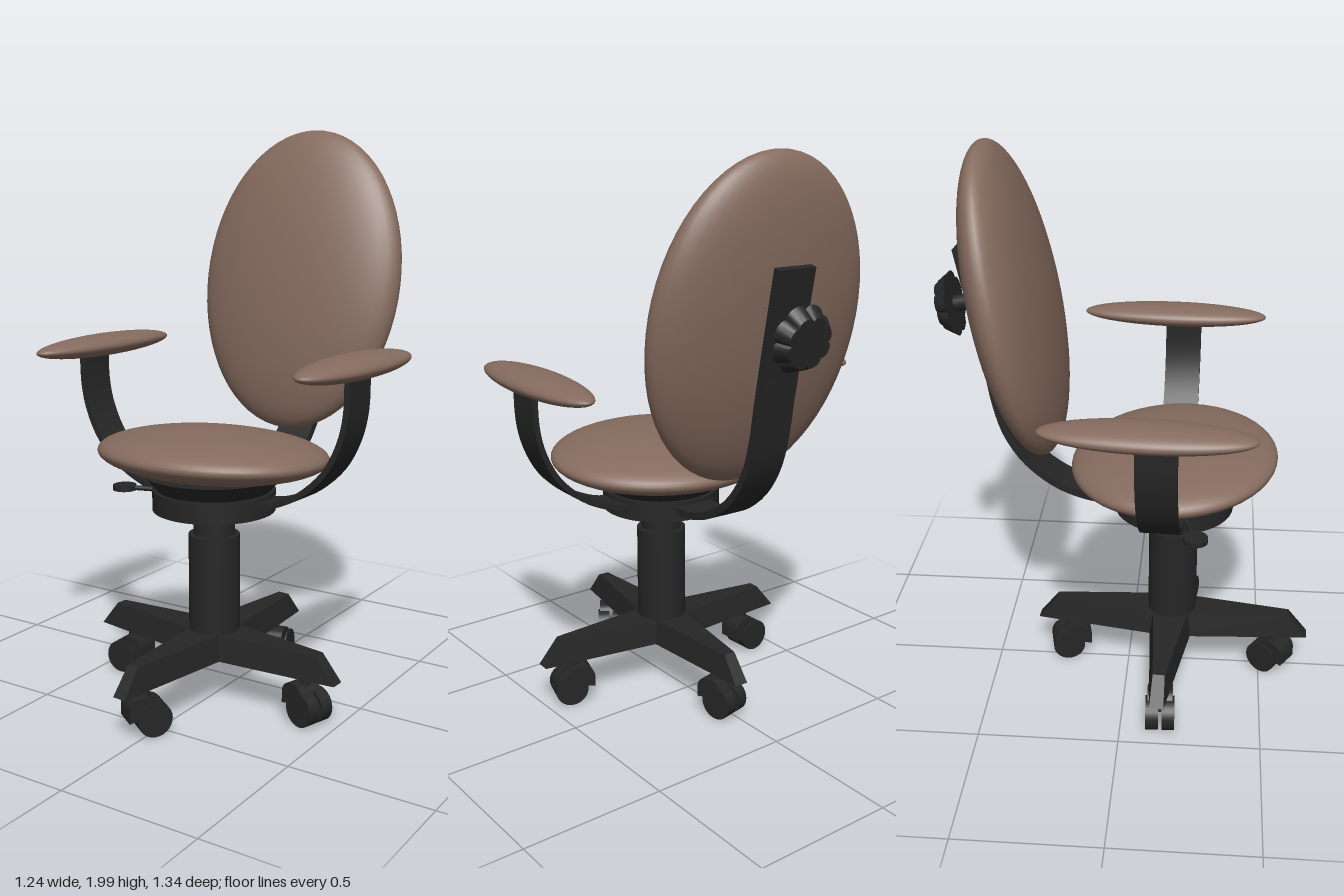
import * as THREE from 'three';
import { toCreasedNormals } from 'three/addons/utils/BufferGeometryUtils.js';

const black = new THREE.MeshStandardMaterial({ color: 0x262626 });
const brown = new THREE.MeshStandardMaterial({ color: 0x856b5e });

function add(parent, name, geometry, material, x = 0, y = 0, z = 0) {
  const mesh = new THREE.Mesh(geometry, material);
  mesh.name = name;
  mesh.position.set(x, y, z);
  parent.add(mesh);
  return mesh;
}

// Upholstered cushion: a flattened sphere
function cushion(parent, name, rx, ry, rz, x, y, z) {
  const geometry = new THREE.SphereGeometry(1, 48, 32).scale(rx, ry, rz);
  return add(parent, name, geometry, brown, x, y, z);
}

// Flat bar of given thickness bent along a planar path, extruded to its width
function bentBar(points, thickness, width) {
  const curve = new THREE.SplineCurve(points.map(p => new THREE.Vector2(...p)));
  const outer = [], inner = [];
  for (let i = 0; i <= 28; i++) {
    const p = curve.getPoint(i / 28), t = curve.getTangent(i / 28);
    const n = new THREE.Vector2(-t.y, t.x).multiplyScalar(thickness / 2);
    outer.push(p.clone().add(n));
    inner.unshift(p.clone().sub(n));
  }
  const geometry = new THREE.ExtrudeGeometry(new THREE.Shape([...outer, ...inner]),
    { depth: width, bevelEnabled: false });
  return toCreasedNormals(geometry.translate(0, 0, -width / 2), 0.5);
}

// Star-base leg along +x: tapered, with a sloping tip
function legGeometry() {
  const geometry = new THREE.BoxGeometry(1, 1, 1);
  const p = geometry.attributes.position;
  for (let i = 0; i < p.count; i++) {
    const tip = p.getX(i) > 0, top = p.getY(i) > 0;
    const half = (tip ? 0.025 : 0.085) * (top ? 0.85 : 1);
    p.setXYZ(i, tip ? (top ? 0.44 : 0.512) : 0, top ? 0.255 : 0.165, Math.sign(p.getZ(i)) * half);
  }
  geometry.computeVertexNormals();
  return geometry;
}

// Twin-wheel caster, its hood facing +x
function makeCaster() {
  const caster = new THREE.Group();
  caster.name = 'caster';
  add(caster, 'casterStem', new THREE.CylinderGeometry(0.016, 0.016, 0.07, 16), black, 0, 0.15, 0);
  const hood = new THREE.Shape();
  hood.moveTo(-0.045, 0.085);
  hood.lineTo(0.068, 0.06);
  hood.lineTo(0.068, 0.105);
  hood.quadraticCurveTo(0.06, 0.142, 0.02, 0.142);
  hood.quadraticCurveTo(-0.03, 0.145, -0.045, 0.085);
  const hoodGeometry = new THREE.ExtrudeGeometry(hood, { depth: 0.09, bevelEnabled: false, curveSegments: 10 });
  add(caster, 'casterHood', toCreasedNormals(hoodGeometry, 0.6), black, 0, 0, -0.045);
  for (const side of [-1, 1]) {
    const wheel = new THREE.CylinderGeometry(0.06, 0.06, 0.045, 28).rotateX(Math.PI / 2);
    add(caster, 'casterWheel', wheel, black, -0.02, 0.062, side * 0.029);
  }
  return caster;
}

// Scalloped grip knob, axis along y, narrowing away from the bar
function knobGeometry() {
  const geometry = new THREE.CylinderGeometry(0.085, 0.113, 0.045, 64);
  const p = geometry.attributes.position;
  for (let i = 0; i < p.count; i++) {
    const a = Math.atan2(p.getZ(i), p.getX(i));
    const k = 0.86 + 0.14 * Math.sqrt(Math.abs(Math.sin(4 * a)));
    p.setX(i, p.getX(i) * k);
    p.setZ(i, p.getZ(i) * k);
  }
  return toCreasedNormals(geometry, 0.6);
}

export function createModel() {
  const model = new THREE.Group();
  model.name = 'officeChair';

  // Star base with four legs and swivelling casters
  const base = new THREE.Group();
  base.name = 'base';
  base.position.z = 0.165;
  base.rotation.y = -0.06;
  model.add(base);
  const hoodAngles = [2.9, 0.3, 0.1, -2.1]; // swivel of each caster, +x, -z, -x, +z legs
  hoodAngles[1] = -1.3;
  for (let i = 0; i < 4; i++) {
    const angle = i * Math.PI / 2;
    add(base, 'baseLeg', legGeometry(), black).rotation.y = angle;
    const caster = makeCaster();
    caster.position.set(0.385 * Math.cos(angle), 0, -0.385 * Math.sin(angle));
    caster.rotation.y = hoodAngles[i];
    base.add(caster);
  }

  // Upper chair, turned slightly on its column
  const chair = new THREE.Group();
  chair.name = 'upperChair';
  chair.position.z = 0.165;
  chair.rotation.y = -0.04;
  model.add(chair);

  // Gas column and seat hub
  add(chair, 'column', new THREE.CylinderGeometry(0.09, 0.09, 0.42, 32), black, 0, 0.39, 0);
  add(chair, 'piston', new THREE.CylinderGeometry(0.073, 0.073, 0.12, 32), black, 0, 0.65, 0);
  const hubProfile = [[0, 0.69], [0.215, 0.69], [0.215, 0.763], [0.2, 0.763], [0.245, 0.818], [0, 0.818]];
  const hub = new THREE.LatheGeometry(hubProfile.map(p => new THREE.Vector2(...p)), 40);
  add(chair, 'seatHub', toCreasedNormals(hub, 0.5), black);

  // Seat and backrest cushions
  cushion(chair, 'seat', 0.418, 0.087, 0.367, -0.005, 0.886, 0).rotation.x = -0.055;
  cushion(chair, 'backrest', 0.415, 0.556, 0.125, 0, 1.45, -0.55).rotation.x = -0.19;

  // Armrests on curved straps
  const armPath = [[0.15, 0.737], [0.22, 0.738], [0.29, 0.757], [0.38, 0.803], [0.47, 0.885],
    [0.525, 0.985], [0.55, 1.09], [0.553, 1.22]];
  for (const side of [1, -1]) {
    const strap = add(chair, 'armStrap', bentBar(armPath, 0.02, 0.135), black, 0, 0, -0.015);
    if (side < 0) strap.rotation.y = Math.PI;
    cushion(chair, 'armrest', 0.092, 0.04, 0.347, side * 0.527, 1.226 + side * 0.004, -0.047)
      .rotation.z = -side * 0.04;
  }

  // Height lever with a flat paddle
  const lever = new THREE.Group();
  lever.name = 'heightLever';
  lever.position.set(-0.32, 0.74, 0.1);
  chair.add(lever);
  add(lever, 'leverPaddle', new THREE.CylinderGeometry(0.042, 0.042, 0.018, 24), black);
  add(lever, 'leverRod', new THREE.CylinderGeometry(0.009, 0.009, 0.2, 12).rotateZ(Math.PI / 2),
    black, 0.09, 0, -0.03).rotation.y = 0.32;

  // Bent bar carrying the backrest
  const backPath = [[0.15, 0.735], [0.24, 0.733], [0.32, 0.745], [0.42, 0.785], [0.52, 0.865],
    [0.59, 0.97], [0.627, 1.09], [0.655, 1.25], [0.735, 1.65]];
  add(chair, 'backBar', bentBar(backPath, 0.026, 0.145), black).rotation.y = Math.PI / 2;

  // Adjusting knob behind the bar
  const knob = new THREE.Group();
  knob.name = 'backKnob';
  knob.position.set(0, 1.45, -0.69);
  knob.rotation.x = -Math.PI / 2 - 0.19;
  chair.add(knob);
  add(knob, 'knobShaft', new THREE.CylinderGeometry(0.026, 0.034, 0.13, 20), black, 0, 0.03, 0);
  add(knob, 'knobGrip', knobGeometry(), black, 0, 0.102, 0);
  return model;
}
